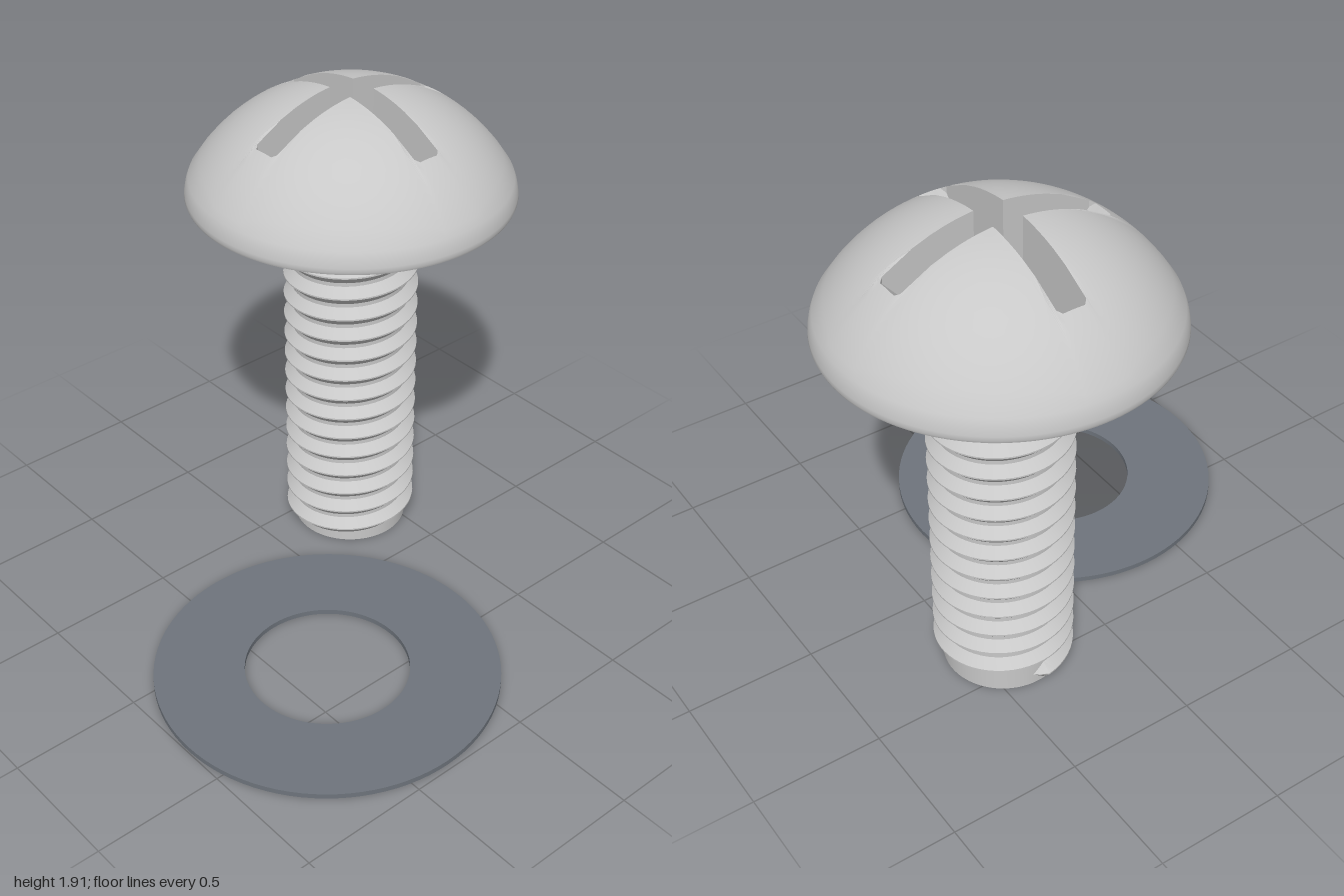
import * as THREE from 'three';
import { toCreasedNormals } from 'three/addons/utils/BufferGeometryUtils.js';

// Skin between rows of points; rows run from the top centre outward and down,
// columns run counterclockwise seen from above.
function skin(rows, closed) {
  const n = rows[0].length, index = [];
  for (let j = 0; j < rows.length - 1; j++) {
    for (let i = 0; i < (closed ? n : n - 1); i++) {
      const k = (i + 1) % n, a = j * n + i, b = a + n, c = (j + 1) * n + k, d = j * n + k;
      index.push(a, b, c, a, c, d);
    }
  }
  const g = new THREE.BufferGeometry().setFromPoints(rows.flat());
  g.setIndex(index);
  return toCreasedNormals(g, 0.6);
}

const polar = (angle, r, y) => new THREE.Vector3(Math.sin(angle) * r, y, Math.cos(angle) * r);

// Domed head with a cross recess whose four floors slope down to the centre
function headGeometry() {
  const half = 0.056, reach = 0.412, chamfer = 0.015, centreY = 1.3;
  const ball = 0.71, edge = 0.608, top = 1.915;
  const domeY = r => top - ball + Math.sqrt(ball * ball - r * r);
  const slope = (domeY(reach) - centreY) / reach;

  // Angles for one arm, placed so the corners of the recess are met exactly
  const q = Math.PI / 4;
  const a1 = Math.atan2(half, reach - chamfer), a2 = Math.atan2(half - chamfer, reach);
  const stops = [-q, -a1, -a2, a2, a1, q], steps = [12, 1, 4, 1, 12];
  const columns = [];
  for (let arm = 0; arm < 4; arm++) {
    steps.forEach((count, s) => {
      for (let i = 0; i < count; i++) {
        const f = THREE.MathUtils.lerp(stops[s], stops[s + 1], i / count);
        const c = Math.cos(f), t = Math.max(Math.abs(Math.sin(f)), 1e-6);
        const r = Math.min(reach / c, half / t, (reach + half - chamfer) / (c + t));
        const floor = Math.min(centreY + slope * r * c, domeY(r));
        columns.push({ angle: f + arm * Math.PI / 2, r, floor });
      }
    });
  }

  const ring = (r, y) => columns.map(c => polar(c.angle, r, y));
  const rows = [ring(0, centreY), columns.map(c => polar(c.angle, c.r, c.floor))];
  for (let k = 0; k <= 12; k++) {
    rows.push(columns.map(c => {
      const r = THREE.MathUtils.lerp(c.r, edge, k / 12);
      return polar(c.angle, r, domeY(r));
    }));
  }
  // Rolled rim and flat underside
  [[0.618, 1.545], [0.624, 1.515], [0.625, 1.5], [0.621, 1.49], [0.2, 1.49]]
    .forEach(([r, y]) => rows.push(ring(r, y)));
  return skin(rows, true);
}

// Right-handed V ridge, fading out at both ends
function threadGeometry() {
  const pitch = 0.091, turns = 14.4, perTurn = 56, endAngle = Math.PI / 4, endY = 1.352;
  const count = Math.round(turns * perTurn);
  const section = [[0.222, 0.043], [0.261, 0.003], [0.261, -0.003], [0.222, -0.043]];
  const rows = section.map(([r, dy]) => {
    const row = [];
    for (let i = 0; i <= count; i++) {
      const back = (count - i) / perTurn;
      const size = Math.min(1, i / 2, (count - i) / 2);
      row.push(polar(endAngle - back * Math.PI * 2,
        0.222 + (r - 0.222) * size, Math.max(0, endY - back * pitch + dy * size)));
    }
    return row;
  });
  return skin(rows, false);
}

function lathe(points) {
  const profile = points.map(([r, y]) => new THREE.Vector2(r, y));
  return toCreasedNormals(new THREE.LatheGeometry(profile, 96), 0.6);
}

export function createModel() {
  const steel = new THREE.MeshStandardMaterial({ color: 0xc8c8c8 });
  steel.name = 'light steel';
  const slate = new THREE.MeshStandardMaterial({ color: 0x6e747c });
  slate.name = 'slate grey';

  const model = new THREE.Group();
  model.name = 'screwAndWasher';
  const add = (parent, name, geometry, material) => {
    const mesh = new THREE.Mesh(geometry, material);
    mesh.name = name;
    parent.add(mesh);
    return mesh;
  };

  // Screw
  const screw = new THREE.Group();
  screw.name = 'screw';
  screw.position.set(-0.365, 0, -0.375);
  model.add(screw);
  add(screw, 'head', headGeometry(), steel);
  add(screw, 'shank', lathe([[0, 0], [0.227, 0], [0.227, 1.49]]), steel);
  add(screw, 'thread', threadGeometry(), steel);

  // Flat washer lying on the ground
  const washer = add(model, 'washer',
    lathe([[0.31, 0], [0.65, 0], [0.65, 0.02], [0.31, 0.02], [0.31, 0]]), slate);
  washer.position.set(0.33, 0, 0.345);

  return model;
}
